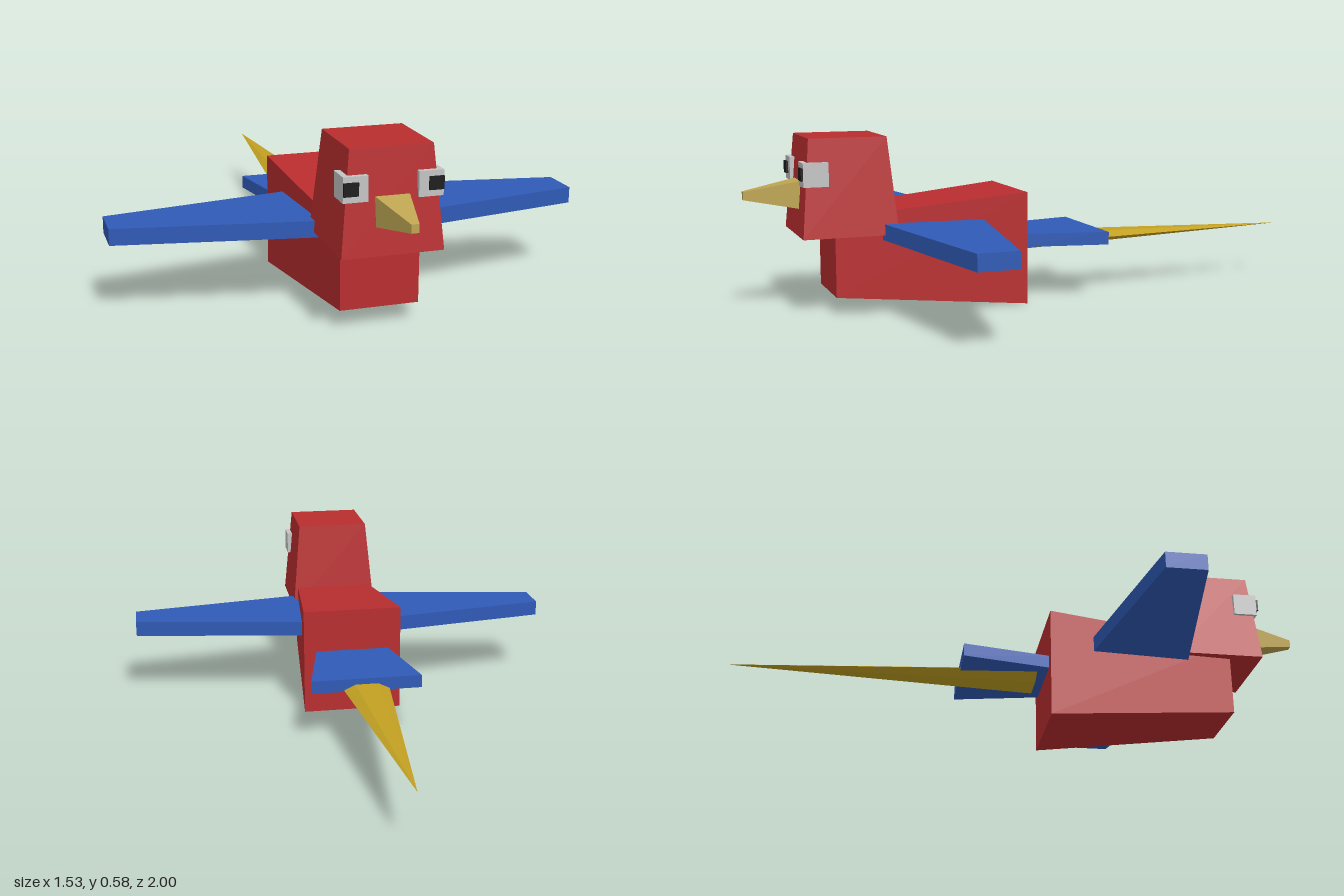
import * as THREE from 'three';

const material = (name, color) => {
  const m = new THREE.MeshStandardMaterial({ color });
  m.name = name;
  return m;
};

// Box whose two ends along an axis have their own extents [[x0,x1],[y0,y1],[z0,z1]]
function taperedBox(axis, low, high) {
  const geometry = new THREE.BoxGeometry(1, 1, 1);
  const p = geometry.attributes.position;
  for (let i = 0; i < p.count; i++) {
    const v = [p.getX(i), p.getY(i), p.getZ(i)];
    const end = v[axis] < 0 ? low : high;
    p.setXYZ(i, ...v.map((c, k) => end[k][c < 0 ? 0 : 1]));
  }
  geometry.computeVertexNormals();
  return geometry;
}

const plainBox = (extents) => taperedBox(0, extents, extents);
const half = (w) => [-w, w];

export function createModel() {
  const red = material('red plumage', 0xb92d2f);
  const blue = material('blue feathers', 0x2f5ab6);
  const gold = material('gold tail', 0xc2a022);
  const tan = material('tan beak', 0xbea552);
  const white = material('eye white', 0xc4c4c4);
  const black = material('pupil black', 0x1c1c1c);

  const bird = new THREE.Group();
  bird.name = 'bird';
  const add = (name, geometry, mat) => {
    const mesh = new THREE.Mesh(geometry, mat);
    mesh.name = name;
    bird.add(mesh);
    return mesh;
  };

  // Body widens toward the back, head narrows toward the crown
  let z = [0.09, 0.73];
  add('body', taperedBox(2, [half(0.175), [0, 0.38], z], [half(0.125), [0.06, 0.32], z]), red);
  let y = [0.26, 0.577];
  add('head', taperedBox(1, [half(0.158), y, [0.527, 0.838]], [half(0.128), y, [0.557, 0.81]]), red);

  // Beak
  z = [0.81, 1];
  add('beak', taperedBox(2, [half(0.056), [0.342, 0.438], z], [half(0.012), [0.377, 0.403], z]), tan);

  // Wings and eyes on both sides
  for (const [side, s] of [['left', 1], ['right', -1]]) {
    const span = (a, b) => (s > 0 ? [a, b] : [-b, -a]);
    const x = span(0.1, 0.765);
    y = [0.242, 0.295];
    const root = [x, y, [0.23, 0.583]];
    const tip = [x, y, [0.34, 0.47]];
    add(side + 'Wing', s > 0 ? taperedBox(0, root, tip) : taperedBox(0, tip, root), blue);
    add(side + 'Eye', plainBox([span(0.077, 0.153), [0.425, 0.502], [0.752, 0.833]]), white);
    add(side + 'Pupil', plainBox([span(0.107, 0.152), [0.445, 0.485], [0.826, 0.84]]), black);
  }

  // Flat fan of tail feathers
  z = [-0.205, 0.12];
  y = [0.186, 0.23];
  add('tailFan', taperedBox(2, [half(0.19), y, z], [half(0.125), y, z]), blue);

  // Long flattened six-sided tail feather pointing back
  const plume = new THREE.ConeGeometry(0.104, 1.05, 6)
    .toNonIndexed()
    .rotateY(Math.PI / 6)
    .rotateX(-Math.PI / 2);
  plume.scale(1, 0.28, 1);
  // Turn the hexagon so that its corners lie at the sides
  const p = plume.attributes.position;
  let widest = 0;
  for (let i = 0; i < p.count; i++) widest = Math.max(widest, Math.abs(p.getX(i)));
  if (widest < 0.1) plume.scale(1, 1 / 0.28, 1).rotateZ(Math.PI / 6).scale(1, 0.28, 1);
  plume.translate(0, 0.191, -0.47);
  plume.computeVertexNormals();
  add('tailPlume', plume, gold);

  return bird;
}
